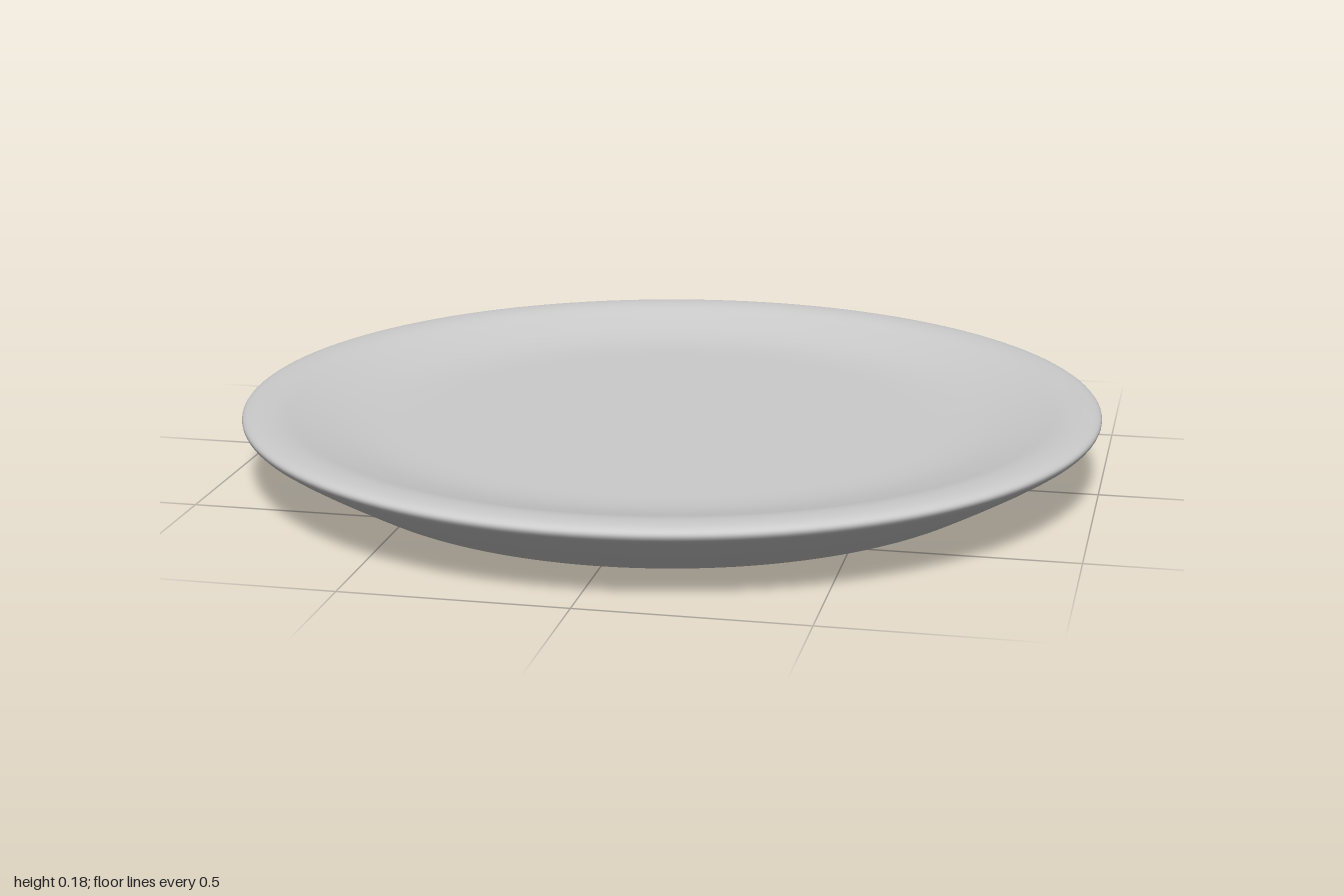
import * as THREE from 'three';

const v = (x, y) => new THREE.Vector2(x, y);

export function createModel() {
  const group = new THREE.Group();
  const material = new THREE.MeshStandardMaterial({ color: 0xcccccc });

  // Cross-section, from the underside centre round the rim to the inner floor
  const section = new THREE.Path();
  section.moveTo(0, 0);
  section.lineTo(0.67, 0);
  section.bezierCurveTo(0.74, 0, 0.765, 0.01, 0.81, 0.036); // rounded foot
  section.bezierCurveTo(0.87, 0.07, 0.93, 0.104, 0.98, 0.139); // flared wall
  section.bezierCurveTo(1.005, 0.157, 1.007, 0.177, 0.95, 0.177); // rolled rim
  section.bezierCurveTo(0.91, 0.177, 0.89, 0.169, 0.85, 0.159); // top of the slope
  section.bezierCurveTo(0.76, 0.137, 0.71, 0.125, 0.6, 0.125); // inner curve
  section.lineTo(0, 0.125);

  const points = section.getPoints(12);
  const radius = Math.max(...points.map((p) => p.x));
  const profile = points.map((p) => v(p.x / radius, p.y));

  const plate = new THREE.Mesh(new THREE.LatheGeometry(profile, 128), material);
  plate.name = 'plate';
  group.add(plate);
  return group;
}
